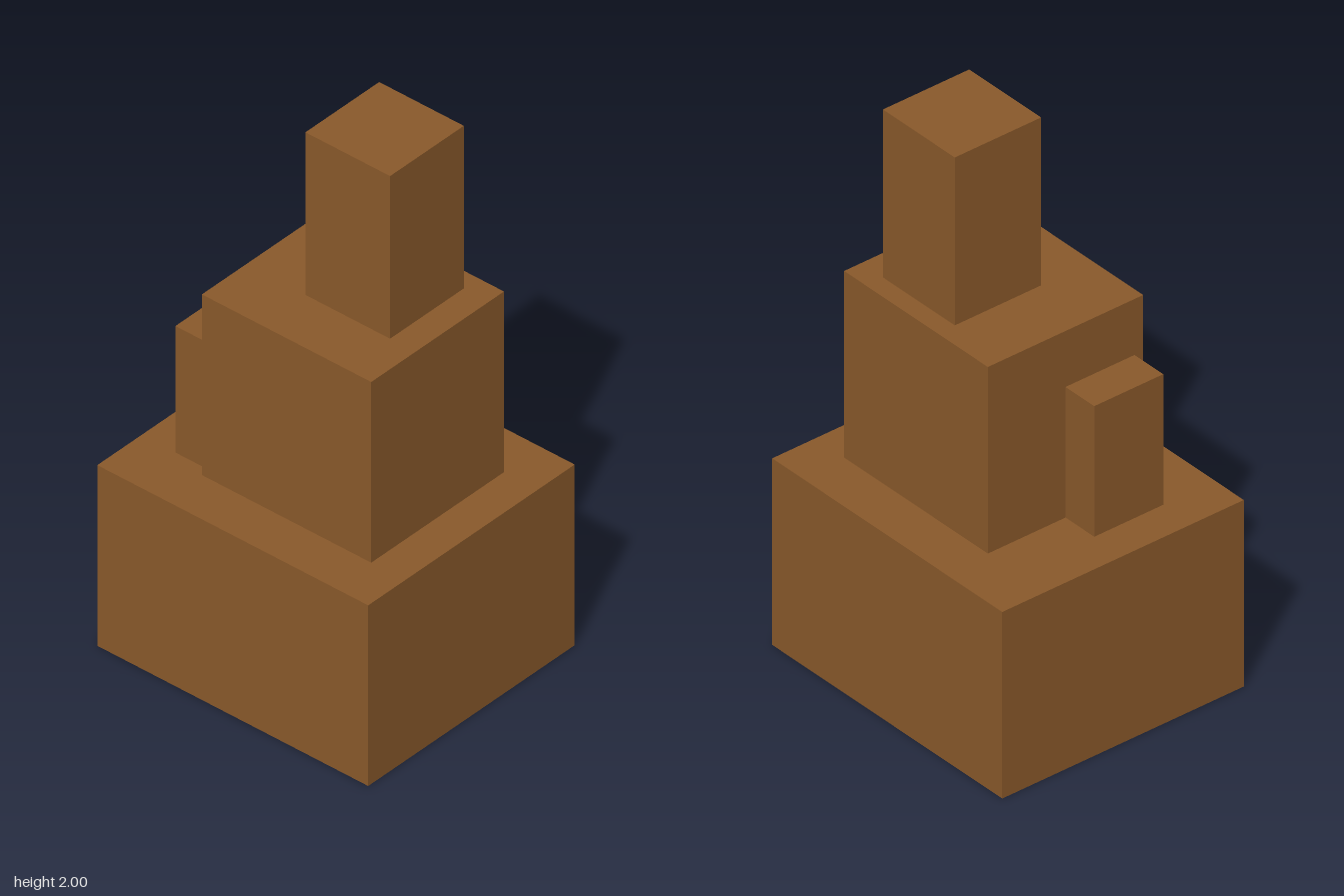
import * as THREE from 'three';

const U = 2 / 29; // one module of the block grid

// Open-bottomed block given by its limits in modules
function openBlock(name, material, [x0, x1], [y0, y1], [z0, z1]) {
  const geometry = new THREE.BoxGeometry((x1 - x0) * U, (y1 - y0) * U, (z1 - z0) * U);
  // Drop the downward face (indices 18 to 23)
  const index = Array.from(geometry.index.array);
  index.splice(18, 6);
  geometry.setIndex(index);
  geometry.clearGroups();
  const mesh = new THREE.Mesh(geometry, material);
  mesh.name = name;
  mesh.position.set((x0 + x1) / 2 * U, (y0 + y1) / 2 * U, (z0 + z1) / 2 * U);
  return mesh;
}

export function createModel() {
  const brown = new THREE.MeshStandardMaterial({ color: 0x8b5a2b, side: THREE.DoubleSide });
  brown.name = 'brown';

  const model = new THREE.Group();
  model.name = 'steppedTower';
  model.add(
    openBlock('base', brown, [-8, 8], [0, 10], [-7, 7]),
    openBlock('middleBlock', brown, [-4, 6], [10, 20], [-4.5, 4.5]),
    openBlock('topTower', brown, [-0.5, 4.5], [20, 29], [-3.5, 1.5]),
    openBlock('sideBlock', brown, [-6, -4], [10, 17], [0, 4]),
  );
  return model;
}
